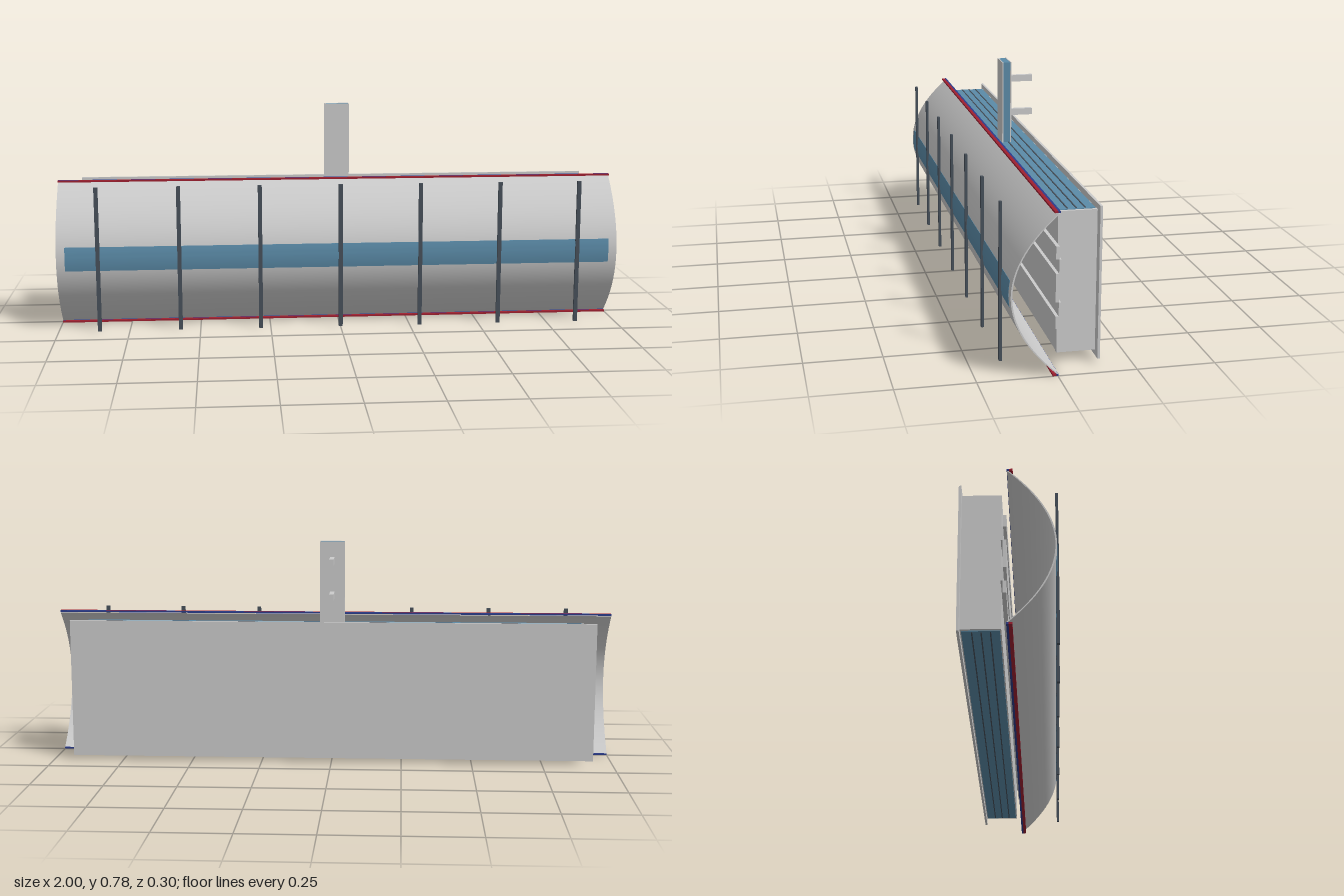
import * as THREE from 'three';
import { toCreasedNormals } from 'three/addons/utils/BufferGeometryUtils.js';

const grey = new THREE.MeshStandardMaterial({ color: 0xcccccc });
const steelBlue = new THREE.MeshStandardMaterial({ color: 0x5b8ba8 });
const dark = new THREE.MeshStandardMaterial({ color: 0x47505a });
const red = new THREE.MeshStandardMaterial({ color: 0xa02030 });
const navy = new THREE.MeshStandardMaterial({ color: 0x2c3c8c });

const MID = 0.26;    // height of the shell's foremost line
const HALF = 0.253;  // half height of the shell

export function createModel() {
  const model = new THREE.Group();

  const add = (name, geometry, material) => {
    const mesh = new THREE.Mesh(geometry, material);
    mesh.name = name;
    model.add(mesh);
    return mesh;
  };

  // Box given by its x, y and z ranges
  const box = (name, material, [x0, x1], [y0, y1], [z0, z1]) => {
    const mesh = add(name, new THREE.BoxGeometry(x1 - x0, y1 - y0, z1 - z0), material);
    mesh.position.set((x0 + x1) / 2, (y0 + y1) / 2, (z0 + z1) / 2);
    return mesh;
  };

  // Parabolic sheet between two heights, extruded along x
  const curvedSheet = (name, material, y0, y1, width, inner, outer, steps) => {
    const line = (depth) => Array.from({ length: steps + 1 }, (_, i) => {
      const y = y0 + (y1 - y0) * i / steps;
      return new THREE.Vector2(depth - 0.143 * ((y - MID) / HALF) ** 2, y);
    });
    const shape = new THREE.Shape([...line(outer), ...line(inner).reverse()]);
    const geometry = new THREE.ExtrudeGeometry(shape, { depth: width, bevelEnabled: false });
    geometry.rotateY(-Math.PI / 2).translate(width / 2, 0, 0);
    add(name, toCreasedNormals(geometry, 0.5), material);
  };

  // Curved front shell with its coloured band
  curvedSheet('frontShell', grey, MID - HALF, MID + HALF, 2, 0.142, 0.147, 48);
  curvedSheet('frontBand', steelBlue, 0.22, 0.305, 1.94, 0.144, 0.148, 10);

  // Two-tone trims along the shell's upper and lower edges
  for (const [label, y] of [['lower', 0], ['upper', 0.515]]) {
    box(label + 'RedTrim', red, [-1, 1], [y, y + 0.006], [0.005, 0.016]);
    box(label + 'BlueTrim', navy, [-1, 1], [y, y + 0.006], [-0.002, 0.005]);
  }

  // Upright bars in front of the shell
  for (let i = -3; i <= 3; i++) {
    const x = i * 0.285;
    box('frontBar', dark, [x - 0.007, x + 0.007], [0.003, 0.518], [0.144, 0.153]);
  }

  // Housing with end plates, and blue ribbed faces above and below
  box('housing', grey, [-0.885, 0.885], [0.036, 0.487], [-0.143, -0.02]);
  for (const s of [-1, 1]) {
    box('endPlate', grey, s < 0 ? [-0.9, -0.885] : [0.885, 0.9], [0.033, 0.489], [-0.143, -0.02]);
  }
  for (const [label, y0, y1] of [['lower', 0.031, 0.036], ['upper', 0.487, 0.491]]) {
    box(label + 'Panel', steelBlue, [-0.89, 0.89], [y0, y1], [-0.139, -0.024]);
    for (const z of [-0.052, -0.08, -0.108]) {
      box(label + 'Rib', dark, [-0.885, 0.885], [y0 - 0.001, y1 + 0.002], [z - 0.002, z + 0.002]);
    }
  }

  // Back panel
  box('backPanel', grey, [-0.93, 0.93], [0.015, 0.507], [-0.151, -0.143]);

  // Stepped strips on the front of the housing
  for (const y of [[0.13, 0.17], [0.215, 0.307], [0.352, 0.393]]) {
    box('outerStrip', grey, [-0.945, 0.945], y, [-0.015, -0.004]);
  }
  for (const y of [[0.17, 0.215], [0.307, 0.352]]) {
    box('innerStrip', grey, [-0.945, 0.945], y, [-0.021, -0.014]);
  }

  // Mounting post with blue sides
  box('postCore', steelBlue, [-0.042, 0.042], [0.485, 0.782], [-0.058, -0.033]);
  box('postFront', grey, [-0.044, 0.044], [0.485, 0.783], [-0.033, -0.029]);
  box('postBack', grey, [-0.044, 0.044], [0.485, 0.783], [-0.062, -0.058]);

  // Arms reaching back from the post
  for (const y of [0.582, 0.705]) {
    box('postArm', grey, [-0.008, 0.008], [y, y + 0.023], [-0.146, -0.06]);
  }

  return model;
}
